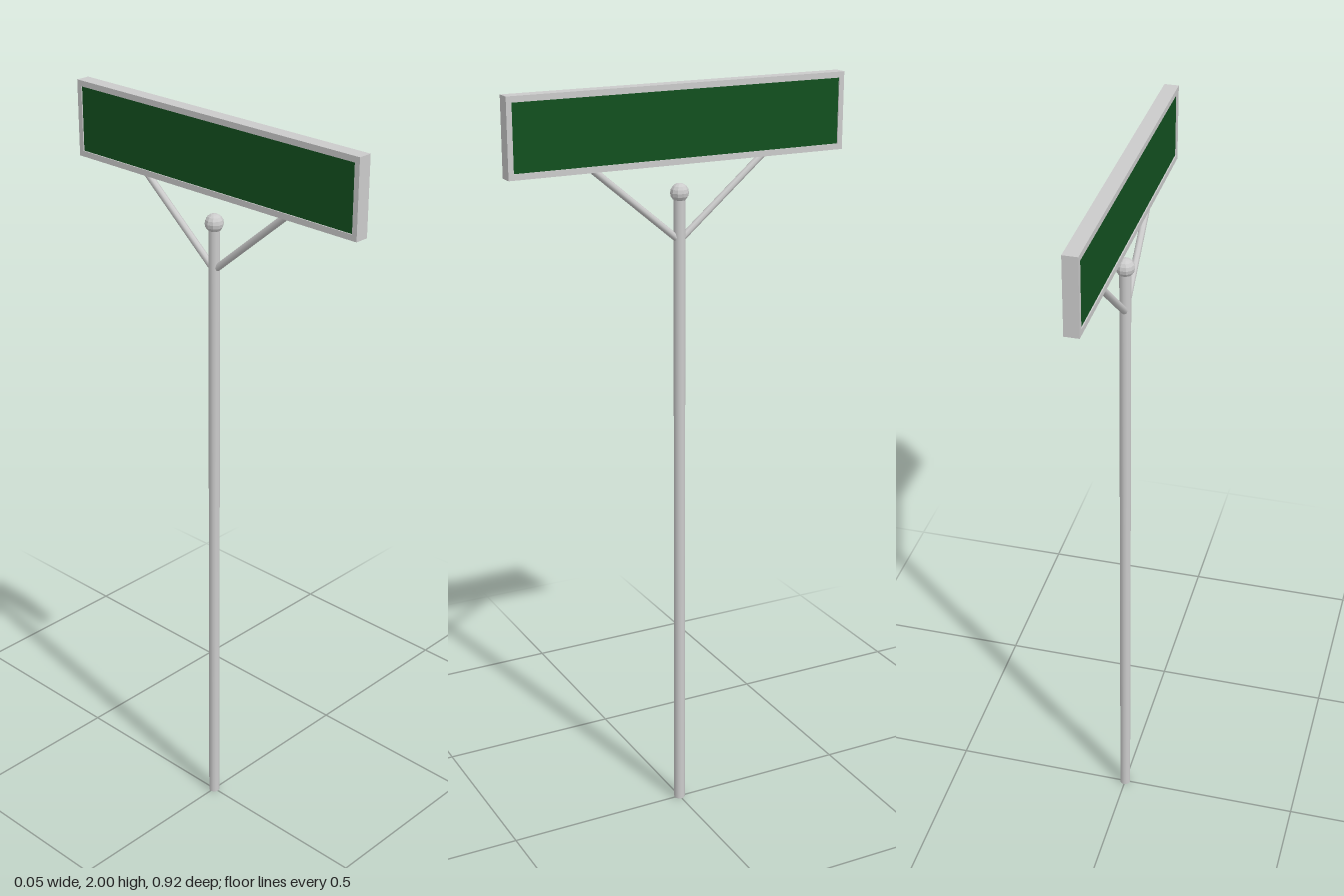
import * as THREE from 'three';

const metal = new THREE.MeshStandardMaterial({ color: 0xcccccc });
const flatMetal = new THREE.MeshStandardMaterial({ color: 0xcccccc, flatShading: true });
const green = new THREE.MeshStandardMaterial({ color: 0x12501f });

function add(group, name, geometry, material) {
  const mesh = new THREE.Mesh(geometry, material);
  mesh.name = name;
  group.add(mesh);
  return mesh;
}

// Cylinder running from one point to another
function rod(group, name, from, to, radius, sides) {
  const dir = to.clone().sub(from);
  const mesh = add(group, name, new THREE.CylinderGeometry(radius, radius, dir.length(), sides), metal);
  mesh.position.copy(from).add(to).multiplyScalar(0.5);
  mesh.quaternion.setFromUnitVectors(new THREE.Vector3(0, 1, 0), dir.normalize());
  return mesh;
}

function rectangle(path, w, h) {
  path.moveTo(-w / 2, -h / 2);
  path.lineTo(w / 2, -h / 2);
  path.lineTo(w / 2, h / 2);
  path.lineTo(-w / 2, h / 2);
  path.closePath();
  return path;
}

export function createModel() {
  const model = new THREE.Group();
  model.name = 'streetSign';

  // Post with a ball cap
  rod(model, 'post', new THREE.Vector3(0, 0, 0), new THREE.Vector3(0, 1.73, 0), 0.015, 12);
  add(model, 'ballCap', new THREE.SphereGeometry(0.024, 10, 8), flatMetal).position.y = 1.73;

  // Two braces spreading from the post to the board
  for (const s of [1, -1]) {
    rod(model, s > 0 ? 'frontBrace' : 'backBrace',
      new THREE.Vector3(0, 1.608, 0), new THREE.Vector3(0, 1.808, s * 0.238), 0.009, 8);
  }

  // Board: rectangular frame with a recessed panel, long side along z
  const board = new THREE.Group();
  board.name = 'board';
  board.position.y = 1.9015;
  board.rotation.y = Math.PI / 2;
  const width = 0.922, height = 0.197, depth = 0.037;
  const outline = rectangle(new THREE.Shape(), width, height);
  outline.holes.push(rectangle(new THREE.Path(), width - 0.028, height - 0.03));
  const frame = new THREE.ExtrudeGeometry(outline, { depth, bevelEnabled: false });
  frame.translate(0, 0, -depth / 2);
  add(board, 'frame', frame, metal);
  add(board, 'panel', new THREE.BoxGeometry(width - 0.028, height - 0.03, depth - 0.006), green);
  model.add(board);

  return model;
}
